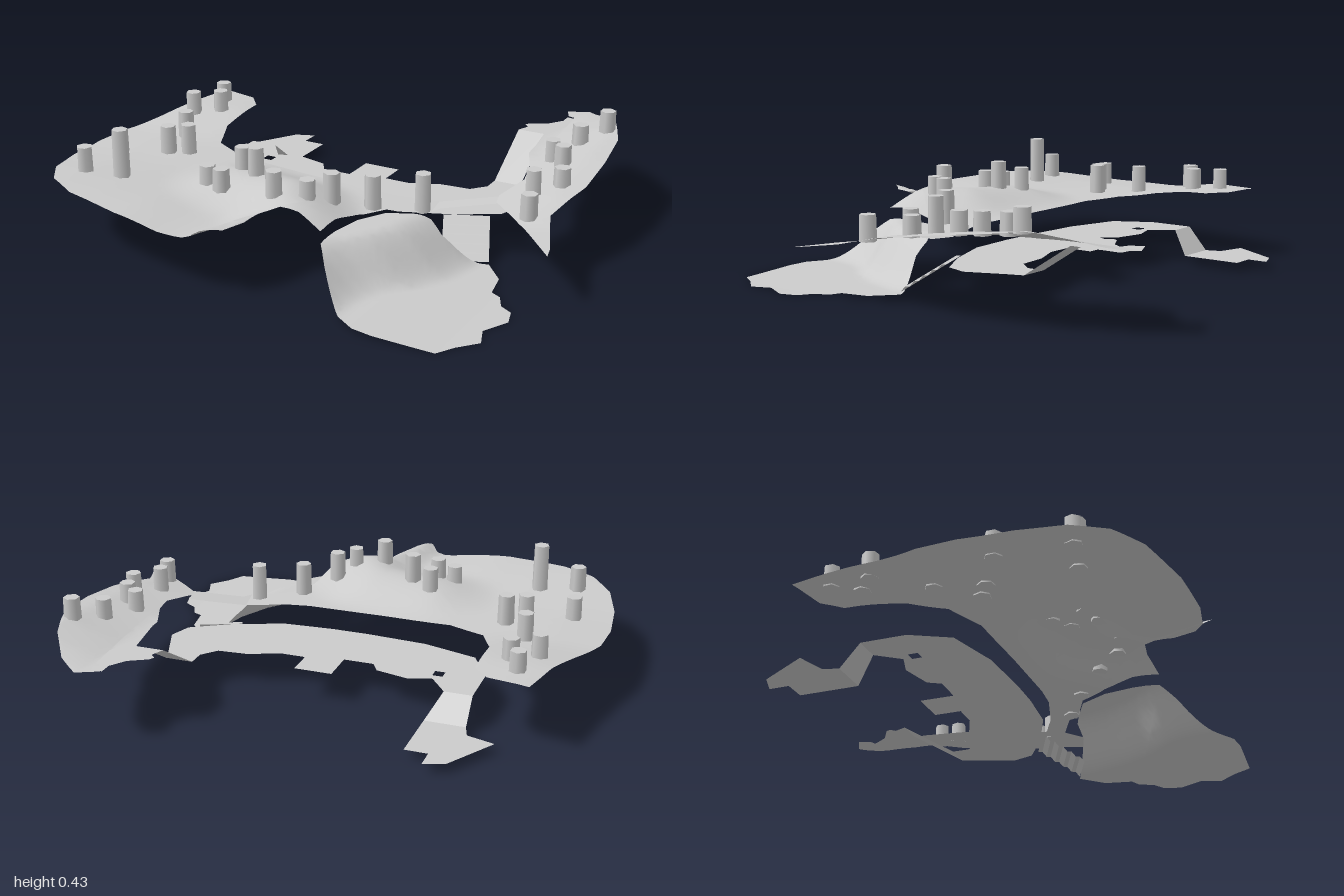
import * as THREE from 'three';
import { mergeVertices } from 'three/addons/utils/BufferGeometryUtils.js';

const material = new THREE.MeshStandardMaterial({ color: 0xcccccc, side: THREE.DoubleSide });
const { clamp, smoothstep, lerp } = THREE.MathUtils;

// Linear interpolation through [position, value] pairs
function ramp(pairs, t) {
  for (let i = 1; i < pairs.length; i++) {
    const [a, va] = pairs[i - 1], [b, vb] = pairs[i];
    if (t <= b) return lerp(va, vb, clamp((t - a) / (b - a), 0, 1));
  }
  return pairs[pairs.length - 1][1];
}

const outlinePath = (Type, pts) => new Type(pts.map(([x, z]) => new THREE.Vector2(x, -z)));

// Sheet filling an outline of [x, z] points, divided finely and raised by a height rule
function sheet(name, outline, height, maxEdge = 0.05, hole) {
  const shape = outlinePath(THREE.Shape, outline);
  if (hole) shape.holes.push(outlinePath(THREE.Path, hole));
  const flat = new THREE.ShapeGeometry(shape).toNonIndexed().attributes.position;
  const stack = [], out = [];
  for (let i = 0; i < flat.count; i += 3) {
    stack.push([0, 1, 2].map((k) => [flat.getX(i + k), -flat.getY(i + k)]));
  }
  while (stack.length) {
    const t = stack.pop();
    const len = t.map((p, k) => Math.hypot(p[0] - t[(k + 1) % 3][0], p[1] - t[(k + 1) % 3][1]));
    const k = len.indexOf(Math.max(...len));
    if (len[k] > maxEdge) {
      const a = t[k], b = t[(k + 1) % 3], c = t[(k + 2) % 3];
      const m = [(a[0] + b[0]) / 2, (a[1] + b[1]) / 2];
      stack.push([a, m, c], [m, b, c]);
    } else {
      for (const [x, z] of t) out.push(x, height(x, z), z);
    }
  }
  let geo = new THREE.BufferGeometry();
  geo.setAttribute('position', new THREE.Float32BufferAttribute(out, 3));
  geo = mergeVertices(geo, 1e-5);
  geo.computeVertexNormals();
  const mesh = new THREE.Mesh(geo, material);
  mesh.name = name;
  return mesh;
}

const level = (name, outline, y, hole) => sheet(name, outline, () => y, 5, hole);

// Flat-faced ribbon between successive pairs of left and right corners
function ribbon(name, pairs) {
  const out = [];
  for (let i = 1; i < pairs.length; i++) {
    const [a, b] = pairs[i - 1], [d, c] = pairs[i];
    out.push(...a, ...d, ...b, ...b, ...d, ...c);
  }
  const geo = new THREE.BufferGeometry();
  geo.setAttribute('position', new THREE.Float32BufferAttribute(out, 3));
  geo.computeVertexNormals();
  const mesh = new THREE.Mesh(geo, material);
  mesh.name = name;
  return mesh;
}

// Height rules for the terrain pieces
function segmentDistance(x, z, ax, az, bx, bz) {
  const dx = bx - ax, dz = bz - az;
  const t = clamp(((x - ax) * dx + (z - az) * dz) / (dx * dx + dz * dz), 0, 1);
  return Math.hypot(x - ax - t * dx, z - az - t * dz);
}
function mainHeight(x, z) {
  const base = ramp([[-1, 0.225], [-0.8, 0.232], [-0.6, 0.228], [-0.25, 0.213], [0.2, 0.205], [0.48, 0.19]], x);
  const rim = 0.025 * smoothstep(z, 0.3, 0.8) * smoothstep(-x, 0.1, 0.45);
  const back = 0.04 * smoothstep(-z, -0.1, 0.3) * smoothstep(-x, 0.4, 0.65);
  const d = Math.min(segmentDistance(x, z, -0.25, 0.38, 0, 0.42), segmentDistance(x, z, 0, 0.42, 0.08, 0.53));
  const hill = ramp([[-0.4, 0.05], [0, 0.085]], x) * (1 - smoothstep(d, 0, 0.28));
  const lip = 0.05 * Math.exp(-((segmentDistance(x, z, 0.02, 0.65, -0.07, 0.89) / 0.05) ** 2));
  return base + rim + back + Math.max(hill, lip);
}
function beachHeight(x, z) {
  const crest = ramp([[0.2, 0.47], [0.35, 0.43], [0.48, 0.36], [0.57, 0.28], [0.63, 0.25], [0.7, 0.235], [0.8, 0.23]], z);
  return 0.185 - 0.17 * smoothstep(x - crest, -0.04, 0.2) - 0.015 * smoothstep(x, 0.4, 0.9);
}
function ridgeHeight(x, z) {
  const inner = ramp([[-0.9, 0.285], [-0.6, 0.28], [-0.3, 0.268], [0, 0.235], [0.2, 0.205], [0.37, 0.19]], z);
  const outer = ramp([[-0.9, 0.285], [-0.85, 0.31], [-0.75, 0.335], [-0.6, 0.345], [-0.3, 0.31], [0, 0.265], [0.2, 0.22], [0.37, 0.2]], z);
  return lerp(inner, outer, clamp((x - 0.66) / 0.22, 0, 1));
}

// Pillar-like trees, given as [x, z, top]
function trees(name, list, height) {
  const group = new THREE.Group();
  group.name = name;
  list.forEach(([x, z, top], i) => {
    const bottom = height(x, z) - 0.005;
    const tree = new THREE.Mesh(new THREE.CylinderGeometry(0.031, 0.033, top - bottom, 6), material);
    tree.name = 'tree';
    tree.position.set(x, (top + bottom) / 2, z);
    tree.rotation.y = i * 0.7;
    group.add(tree);
  });
  return group;
}

export function createModel() {
  const model = new THREE.Group();
  model.name = 'terrain';

  // Large plateau with its hill
  model.add(sheet('plateau', [
    [-0.84, -0.44], [-0.68, -0.41], [-0.62, -0.34], [-0.61, -0.1], [-0.55, 0.04], [-0.4, 0.11], [-0.1, 0.13],
    [0.2, 0.14], [0.3, 0.135], [0.46, 0.09], [0.48, 0.2], [0.33, 0.27], [0.27, 0.38], [0.25, 0.5], [0.25, 0.61],
    [0.15, 0.59], [0.08, 0.6], [0.02, 0.65], [0.01, 0.73], [-0.02, 0.82], [-0.09, 0.9], [-0.12, 0.87],
    [-0.25, 0.89], [-0.45, 0.87], [-0.7, 0.81], [-0.84, 0.73], [-0.93, 0.61], [-0.98, 0.44], [-1, 0.25],
    [-0.99, 0.1], [-0.93, -0.08], [-0.88, -0.25], [-0.86, -0.35],
  ], mainHeight));
  model.add(trees('plateauTrees', [
    [-0.77, -0.32, 0.35], [-0.72, -0.22, 0.35], [-0.81, -0.15, 0.35], [-0.71, 0.05, 0.34], [-0.6, 0.19, 0.345],
    [-0.67, 0.23, 0.34], [-0.84, 0.32, 0.32], [-0.8, 0.59, 0.345], [-0.65, 0.56, 0.43], [-0.25, 0.33, 0.36],
    [-0.16, 0.38, 0.39], [-0.31, 0.48, 0.325], [-0.23, 0.51, 0.335], [0.01, 0.53, 0.38], [0.12, 0.48, 0.35],
    [0.17, 0.39, 0.355], [0.28, 0.28, 0.33], [0.44, 0.19, 0.335],
  ], mainHeight));

  // Beach falling from the hill to the ground
  model.add(sheet('beach', [
    [0.25, 0.61], [0.3, 0.67], [0.42, 0.79], [0.5, 0.84], [0.58, 0.85], [0.81, 0.84], [0.85, 0.77], [0.91, 0.7],
    [0.88, 0.62], [0.93, 0.52], [0.91, 0.45], [0.86, 0.42], [0.83, 0.36], [0.79, 0.34], [0.77, 0.23], [0.69, 0.14],
    [0.53, 0.21], [0.48, 0.2], [0.33, 0.27], [0.27, 0.38], [0.25, 0.5],
  ], beachHeight, 0.035));

  // Long ridge on the +x side
  model.add(sheet('ridge', [
    [0.6, -0.86], [0.68, -0.9], [0.77, -0.83], [0.86, -0.7], [0.94, -0.5], [0.96, -0.3], [0.96, -0.1], [0.93, 0.03],
    [0.91, 0.12], [0.99, 0.32], [1, 0.37], [0.85, 0.22], [0.68, 0.07], [0.67, 0.02], [0.71, -0.12], [0.69, -0.22],
    [0.63, -0.36], [0.62, -0.55], [0.66, -0.68], [0.65, -0.8], [0.62, -0.81],
  ], ridgeHeight));
  model.add(trees('ridgeTrees', [
    [0.87, -0.57, 0.42], [0.8, -0.46, 0.385], [0.75, -0.3, 0.365], [0.81, -0.25, 0.37], [0.87, -0.09, 0.345],
    [0.79, -0.01, 0.35], [0.84, 0.15, 0.32],
  ], ridgeHeight));

  // Bridge from the plateau to the ridge, passing over the steps
  model.add(sheet('bridge', [
    [0.46, 0.09], [0.55, 0.05], [0.67, 0], [0.69, 0.08], [0.58, 0.125], [0.5, 0.16], [0.48, 0.2],
  ], (x) => ramp([[0.46, 0.191], [0.69, 0.226]], x)));

  // Level plaza
  model.add(level('plaza', [
    [-0.6, -0.28], [-0.49, -0.28], [-0.42, -0.19], [-0.33, -0.22], [-0.2, -0.19], [-0.17, -0.14], [-0.05, -0.14],
    [-0.05, -0.28], [0.1, -0.28], [0.1, -0.17], [0.2, -0.17], [0.32, -0.22], [0.44, -0.23], [0.49, -0.29],
    [0.49, -0.36], [0.6, -0.36], [0.62, -0.3], [0.68, -0.15], [0.65, -0.06], [0.5, 0.03], [0.3, 0.11], [0.1, 0.125],
    [-0.05, 0.125], [-0.3, 0.11], [-0.52, 0.05], [-0.6, -0.1],
  ], 0.125, [[-0.45, -0.16], [-0.41, -0.16], [-0.41, -0.12], [-0.45, -0.12]]));

  // Steps with sloped risers from the plaza down to the beach
  const steps = [], count = 5;
  for (let i = 0; i <= 2 * count; i++) {
    const t = i / (2 * count), y = 0.125 - 0.022 * Math.floor(i / 2);
    steps.push([[0.46 + 0.07 * t, y, 0.05 + 0.16 * t], [0.62 + 0.07 * t, y, -0.02 + 0.16 * t]]);
  }
  model.add(ribbon('steps', steps));

  // Ramp and landing going up to the ridge
  model.add(ribbon('upperRamp', [
    [[0.49, 0.27, -0.59], [0.6, 0.27, -0.59]], [[0.49, 0.125, -0.36], [0.6, 0.125, -0.36]],
  ]));
  model.add(level('upperLanding', [
    [0.49, -0.59], [0.51, -0.64], [0.49, -0.66], [0.5, -0.68], [0.57, -0.72], [0.61, -0.78], [0.61, -0.83],
    [0.68, -0.82], [0.68, -0.4], [0.63, -0.4], [0.6, -0.59],
  ], 0.27));

  // Ramp and landing going down on the other side
  model.add(ribbon('lowerRamp', [
    [[-0.6, 0.035, -0.36], [-0.44, 0.035, -0.36]], [[-0.6, 0.125, -0.28], [-0.49, 0.125, -0.28]],
  ]));
  model.add(level('lowerLanding', [
    [-0.6, -0.36], [-0.44, -0.36], [-0.44, -0.6], [-0.53, -0.6], [-0.53, -0.68], [-0.61, -0.65], [-0.67, -0.55],
    [-0.73, -0.45], [-0.62, -0.42],
  ], 0.035));

  return model;
}
